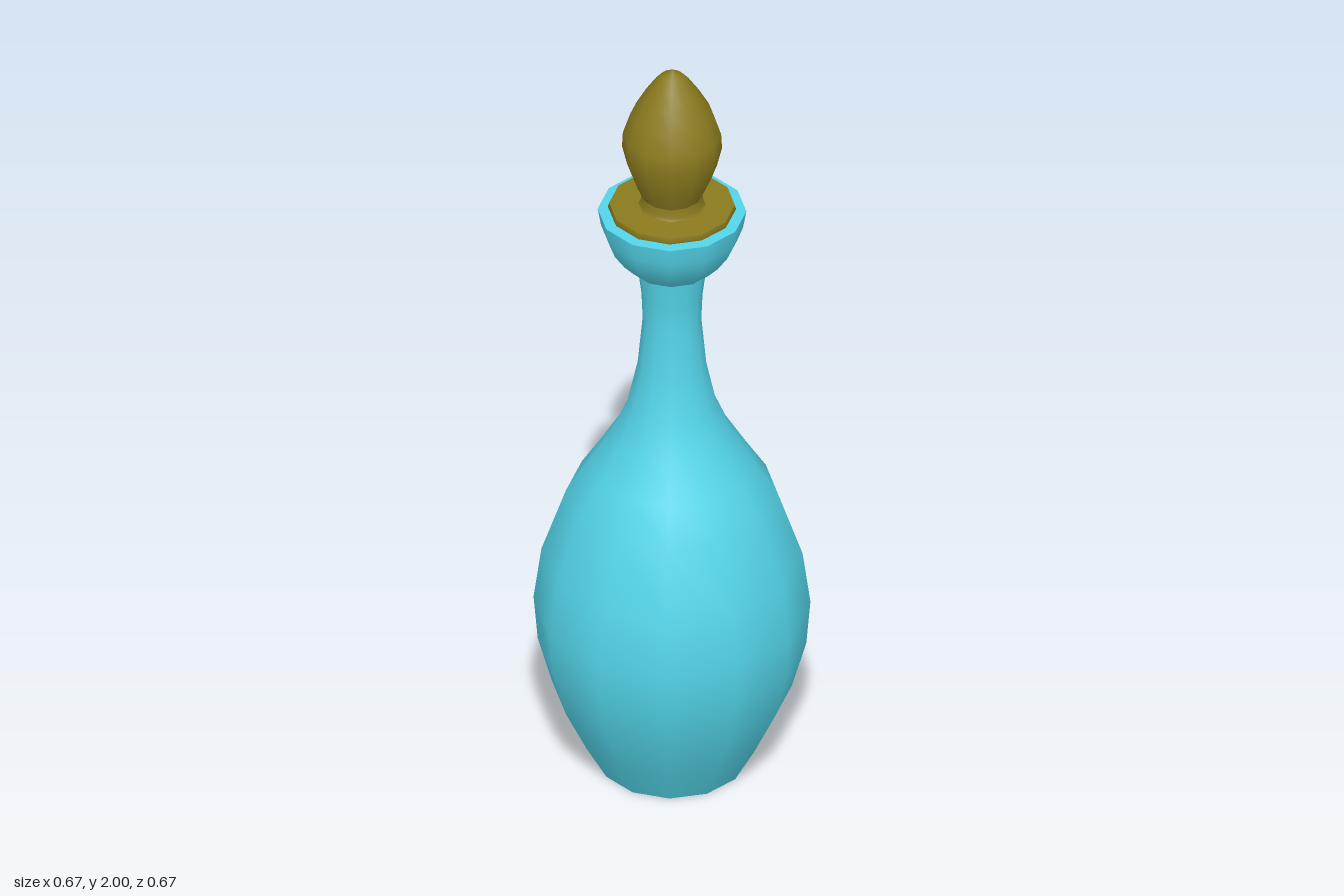
import * as THREE from 'three';

const SIDES = 12;
const glass = new THREE.MeshStandardMaterial({ color: 0x53d4e8 });
const amber = new THREE.MeshStandardMaterial({ color: 0x8a7a1e });

// Turned part from [radius, height] points, listed so that the outside faces out
function turned(name, points, material) {
  const profile = points.map(([r, y]) => new THREE.Vector2(r, y));
  const mesh = new THREE.Mesh(new THREE.LatheGeometry(profile, SIDES), material);
  mesh.name = name;
  return mesh;
}

export function createModel() {
  const model = new THREE.Group();
  model.name = 'decanter';

  // Bottle: separate sections keep the edges between them sharp
  const bottle = new THREE.Group();
  bottle.name = 'bottle';
  bottle.add(
    turned('base', [[0, 0], [0.18, 0]], glass),
    turned('body', [
      [0.18, 0], [0.235, 0.1], [0.29, 0.215], [0.325, 0.34], [0.335, 0.46], [0.316, 0.6],
      [0.257, 0.77], [0.2, 0.86], [0.146, 0.95], [0.107, 1.04], [0.083, 1.15],
      [0.071, 1.28], [0.074, 1.35], [0.084, 1.43],
    ], glass),
    turned('mouth', [
      [0.08, 1.427], [0.104, 1.437], [0.13, 1.465], [0.157, 1.505], [0.172, 1.545], [0.18, 1.592],
    ], glass),
    turned('rim', [[0.18, 1.592], [0.14, 1.594]], glass),
  );

  // Stopper: flat collar, short stem and pointed bulb
  const stopper = new THREE.Group();
  stopper.name = 'stopper';
  stopper.add(
    turned('collarUnderside', [[0, 1.588], [0.15, 1.588]], amber),
    turned('collarEdge', [[0.15, 1.588], [0.155, 1.598], [0.152, 1.61]], amber),
    turned('collarTop', [[0.152, 1.61], [0.06, 1.611]], amber),
    turned('stem', [[0.082, 1.61], [0.076, 1.618], [0.074, 1.64]], amber),
    turned('bulb', [
      [0.074, 1.64], [0.093, 1.68], [0.109, 1.725], [0.121, 1.775], [0.119, 1.815],
      [0.101, 1.87], [0.073, 1.92], [0.045, 1.962], [0.028, 1.982], [0, 2],
    ], amber),
  );

  model.add(bottle, stopper);
  return model;
}
